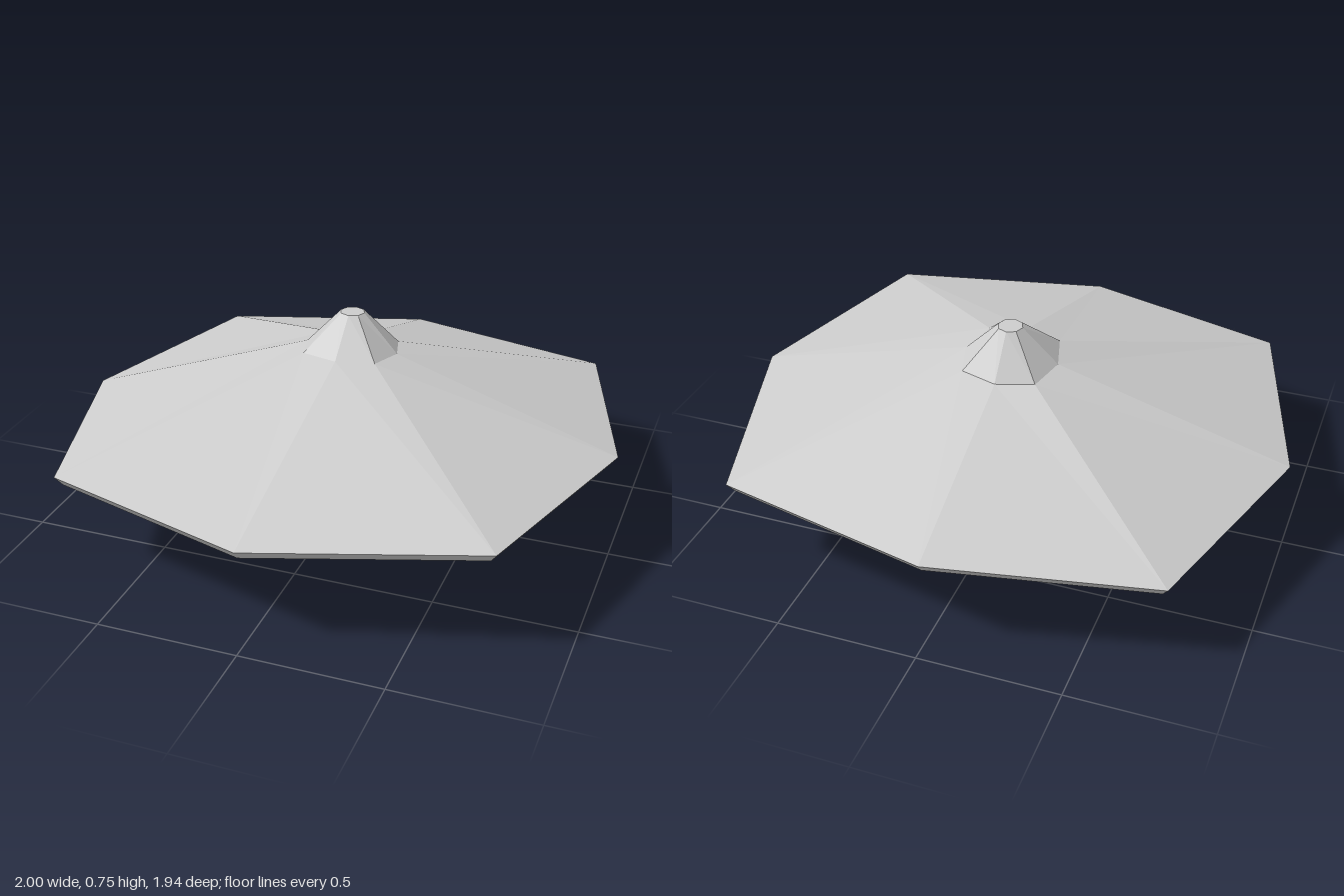
import * as THREE from 'three';

// Eight-sided ring, starting at +x and turning towards +z
function ring(r, y, cx, cz, corner = 1, tiltX = 0, tiltZ = 0) {
  return Array.from({ length: 8 }, (_, i) => {
    const a = (i * Math.PI) / 4;
    const k = i % 2 ? r * corner : r;
    const x = k * Math.cos(a), z = k * Math.sin(a);
    return [cx + x, y + tiltX * x + tiltZ * z, cz + z];
  });
}

// Faceted skin through rings listed from the bottom of the outside to the top
function loft(rings, capBottom = false, capTop = false) {
  const p = [];
  for (let k = 0; k < rings.length - 1; k++) {
    const low = rings[k], high = rings[k + 1];
    for (let i = 0; i < 8; i++) {
      const j = (i + 1) % 8;
      p.push(...low[i], ...high[i], ...high[j], ...low[i], ...high[j], ...low[j]);
    }
  }
  const first = rings[0], last = rings[rings.length - 1];
  for (let i = 1; i < 7; i++) {
    if (capBottom) p.push(...first[0], ...first[i], ...first[i + 1]);
    if (capTop) p.push(...last[0], ...last[i + 1], ...last[i]);
  }
  const g = new THREE.BufferGeometry();
  g.setAttribute('position', new THREE.Float32BufferAttribute(p, 3));
  g.computeVertexNormals();
  return g;
}

export function createModel() {
  const group = new THREE.Group();
  const grey = new THREE.MeshStandardMaterial({ color: 0xcccccc, flatShading: true });
  grey.name = 'light grey';

  const add = (name, geometry) => {
    const mesh = new THREE.Mesh(geometry, grey);
    mesh.name = name;
    group.add(mesh);
  };

  // Slightly warped brim edge
  const rim = [
    [1, 0.382, -0.02], [0.77, 0.396, 0.75], [-0.01, 0.368, 0.97], [-0.77, 0.369, 0.75],
    [-1, 0.343, -0.02], [-0.77, 0.335, -0.79], [-0.01, 0.36, -0.97], [0.77, 0.36, -0.79],
  ];
  const rimLow = rim.map(([x, y, z]) => [x * 0.973, y - 0.035, z * 0.973]);
  const collarTop = ring(0.325, 0.425, 0.01, -0.06);

  // Bulbous foot, narrow neck and flared collar
  add('stem', loft([
    ring(0.168, 0, 0.01, -0.062),
    ring(0.168, 0.1, 0.01, -0.062),
    ring(0.106, 0.235, 0.005, -0.06),
  ], true));
  add('collar', loft([
    ring(0.106, 0.235, 0.005, -0.06),
    ring(0.32, 0.39, 0.01, -0.06),
    collarTop,
  ]));

  // Hollow underside, brim edge and sloping roof
  const shoulder = ring(0.172, 0.62, 0.003, -0.075, 1.1, 0, 0.1);
  add('underside', loft([collarTop, rimLow]));
  add('brim', loft([rimLow, rim]));
  add('cap', loft([rim, shoulder]));

  // Steep peak with a small flat top
  add('peak', loft([shoulder, ring(0.045, 0.752, 0, -0.093, 1, 0, 0.03)], false, true));

  return group;
}
